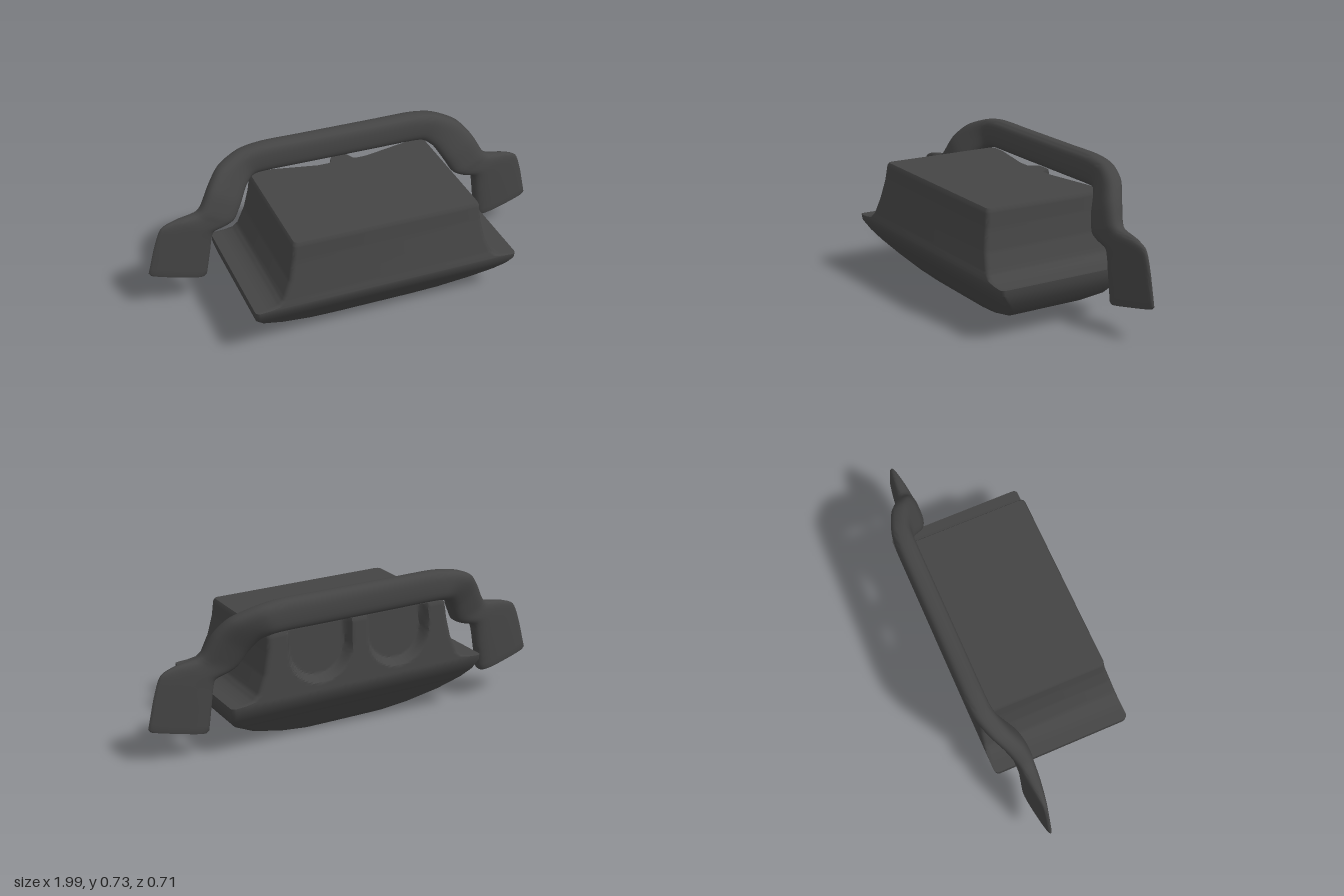
import * as THREE from 'three';
import { toCreasedNormals } from 'three/addons/utils/BufferGeometryUtils.js';

const material = new THREE.MeshStandardMaterial({ color: 0x444444 });

// Skins a list of equal-length closed rings and caps both ends.
function loft(rings, crease) {
  const n = rings[0].length;
  const pos = rings.flat().flatMap((p) => [p.x, p.y, p.z]);
  const tris = [];
  for (let i = 0; i < rings.length - 1; i++) {
    for (let j = 0; j < n; j++) {
      const a = i * n + j, b = i * n + (j + 1) % n;
      tris.push([a, b, a + n], [b, b + n, a + n]);
    }
  }
  [rings[0], rings[rings.length - 1]].forEach((ring, end) => {
    const c = ring.reduce((s, p) => s.add(p), new THREE.Vector3()).divideScalar(n);
    const centre = pos.length / 3, base = end * (rings.length - 1) * n;
    pos.push(c.x, c.y, c.z);
    for (let j = 0; j < n; j++) {
      const a = base + j, b = base + (j + 1) % n;
      tris.push(end ? [a, b, centre] : [b, a, centre]);
    }
  });
  // Turn all faces outwards if the signed volume is negative
  const at = (i) => new THREE.Vector3().fromArray(pos, i * 3);
  const volume = tris.reduce((s, [a, b, c]) => s + at(a).dot(at(b).cross(at(c))), 0);
  if (volume < 0) tris.forEach((t) => t.reverse());
  const g = new THREE.BufferGeometry();
  g.setAttribute('position', new THREE.Float32BufferAttribute(pos, 3));
  g.setIndex(tris.flat());
  return toCreasedNormals(g, crease);
}

// Body sections from bottom to top: half width, height, front z, back z
const bodyRows = [
  [0.10, 0.000, 0.140, -0.120],
  [0.22, 0.008, 0.160, -0.135],
  [0.35, 0.030, 0.182, -0.155],
  [0.50, 0.076, 0.220, -0.190],
  [0.60, 0.135, 0.270, -0.240],
  [0.635, 0.185, 0.312, -0.285],
  [0.65, 0.235, 0.347, -0.318],
  [0.65, 0.263, 0.352, -0.322],
  [0.60, 0.266, 0.351, -0.322],
  [0.55, 0.275, 0.350, -0.321],
  [0.52, 0.300, 0.346, -0.320],
  [0.485, 0.385, 0.332, -0.317],
  [0.465, 0.480, 0.315, -0.313],
  [0.457, 0.555, 0.307, -0.310],
  [0.45, 0.568, 0.301, -0.305],
];

// Depth of the two U-shaped scoops in the back face, open at the top
function scoop(x, y) {
  const dx = Math.abs(x) - 0.2, dy = Math.min(0, y - 0.46);
  const inside = 0.165 - Math.hypot(dx, dy);
  return 0.05 * THREE.MathUtils.smoothstep(inside, 0, 0.03);
}

function bodyRing([w, y, front, back]) {
  const r = 0.02, ring = [];
  const corner = (cx, cz, start) => {
    for (let k = 0; k <= 3; k++) {
      const a = start + (k / 3) * Math.PI / 2;
      ring.push(new THREE.Vector3(cx + r * Math.cos(a), y, cz + r * Math.sin(a)));
    }
  };
  corner(w - r, front - r, 0);
  corner(-w + r, front - r, Math.PI / 2);
  corner(-w + r, back + r, Math.PI);
  const steps = 90;
  for (let k = 1; k < steps; k++) {
    const x = (w - r) * (2 * k / steps - 1);
    ring.push(new THREE.Vector3(x, y, back + scoop(x, y)));
  }
  corner(w - r, back + r, Math.PI * 1.5);
  return ring;
}

function bodyGeometry() {
  const rings = [];
  bodyRows.forEach((row, i) => {
    const next = bodyRows[i + 1];
    // Finer rows where the scoops are
    const steps = !next ? 1 : Math.max(1, Math.round((next[1] - row[1]) / 0.009));
    for (let k = 0; k < (row[1] > 0.27 ? steps : 1); k++) {
      rings.push(bodyRing(row.map((v, c) => (next ? v + (next[c] - v) * k / steps : v))));
    }
  });
  return loft(rings, 0.7);
}

// Handle stations from the middle to one tip:
// outer x, y, inner x, y, centre z, half thickness, thinning of the outer edge
const handleHalf = [
  [0.00, 0.722, 0.00, 0.578, -0.306, 0.048, 0],
  [0.20, 0.722, 0.20, 0.578, -0.306, 0.048, 0],
  [0.38, 0.722, 0.38, 0.578, -0.306, 0.048, 0],
  [0.50, 0.705, 0.44, 0.572, -0.300, 0.048, 0],
  [0.61, 0.660, 0.485, 0.545, -0.265, 0.050, 0],
  [0.675, 0.590, 0.525, 0.485, -0.225, 0.050, 0],
  [0.725, 0.505, 0.565, 0.420, -0.200, 0.048, 0.1],
  [0.76, 0.480, 0.61, 0.395, -0.195, 0.048, 0.3],
  [0.85, 0.465, 0.67, 0.375, -0.194, 0.048, 0.5],
  [0.92, 0.435, 0.685, 0.330, -0.194, 0.048, 0.65],
  [0.955, 0.350, 0.695, 0.260, -0.194, 0.048, 0.7],
  [0.993, 0.200, 0.714, 0.140, -0.194, 0.046, 0.7],
];

function handleGeometry() {
  const mirrored = handleHalf.slice(1).reverse()
    .map(([ox, oy, ix, iy, ...rest]) => [-ox, oy, -ix, iy, ...rest]);
  const stations = [...mirrored, ...handleHalf];
  const curve = (pick) => new THREE.CatmullRomCurve3(
    stations.map((s) => new THREE.Vector3(...pick(s))), false, 'catmullrom', 0.4);
  const outer = curve((s) => [s[0], s[1], s[4]]);
  const inner = curve((s) => [s[2], s[3], s[4]]);
  const size = curve((s) => [s[5], s[6], 0]);

  // Rounded-box section between the outer and inner edge
  const section = (t, scale, shift) => {
    const o = outer.getPoint(t), i = inner.getPoint(t), s = size.getPoint(t);
    const mid = o.clone().add(i).multiplyScalar(0.5);
    const half = o.clone().sub(mid).multiplyScalar(scale);
    mid.y -= shift;
    const ring = [];
    for (let k = 0; k < 28; k++) {
      const a = (k / 28) * Math.PI * 2;
      const soft = (v) => Math.sign(v) * Math.pow(Math.abs(v), 0.7);
      const u = soft(Math.cos(a)), v = soft(Math.sin(a));
      const thick = s.x * scale * (1 - s.y * (u + 1) / 2);
      const p = mid.clone().addScaledVector(half, u);
      p.z += v * thick;
      ring.push(p);
    }
    return ring;
  };
  const rings = [section(0, 0.93, 0.011)];
  const steps = 110;
  for (let k = 0; k <= steps; k++) rings.push(section(k / steps, 1, 0));
  rings.push(section(1, 0.93, 0.011));
  return loft(rings, 0.8);
}

export function createModel() {
  const group = new THREE.Group();
  const add = (name, geometry) => {
    const mesh = new THREE.Mesh(geometry, material);
    mesh.name = name;
    group.add(mesh);
  };
  add('body', bodyGeometry());
  add('handle', handleGeometry());
  // The whole piece leans slightly to one side
  group.rotation.z = -0.027;
  group.position.y = 0.003;
  return group;
}
